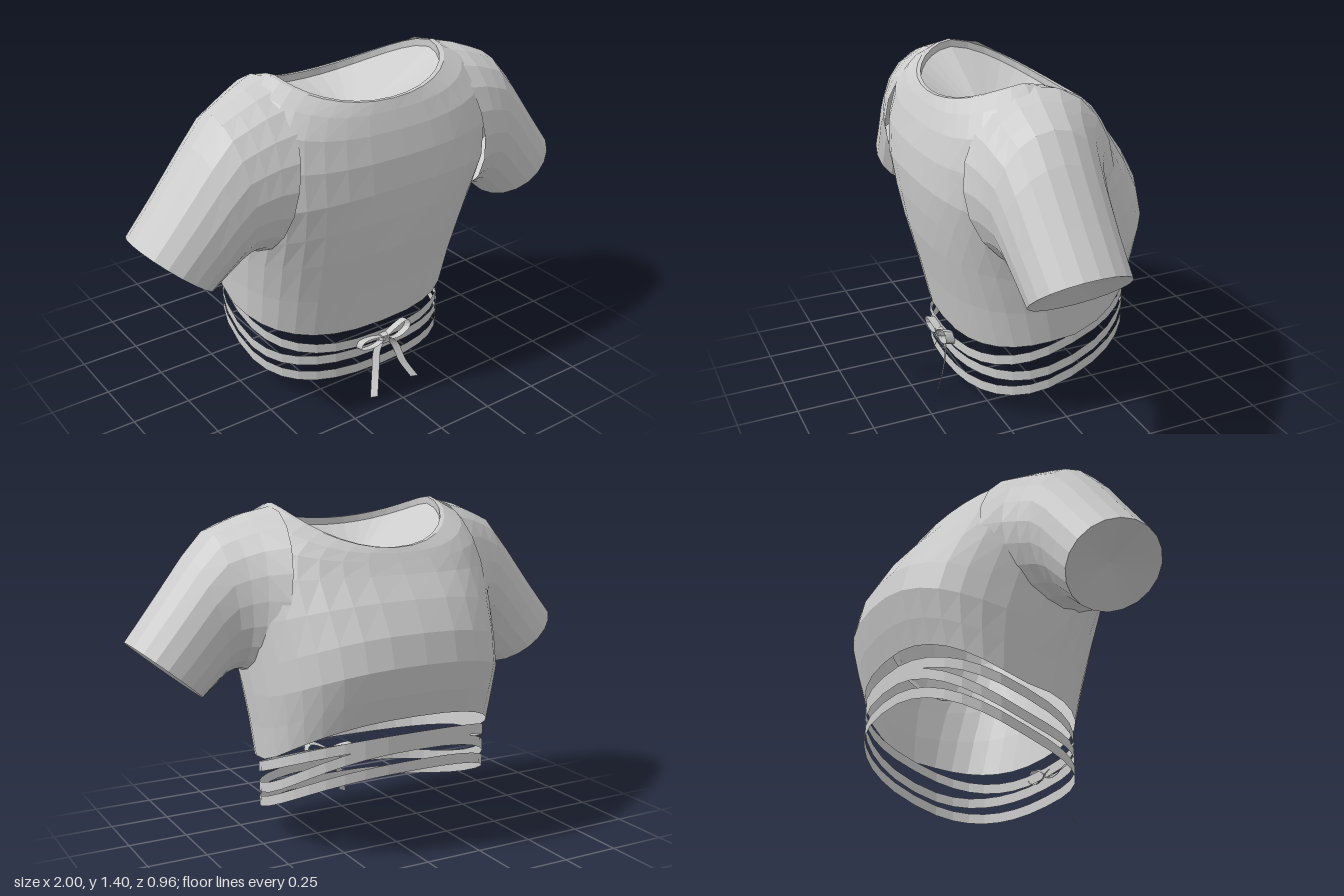
import * as THREE from 'three';

const material = new THREE.MeshStandardMaterial({ color: 0xcccccc, flatShading: true, side: THREE.DoubleSide });

// Skin a list of equally long point rows
function loft(name, rows) {
  const n = rows[0].length, index = [];
  for (let i = 0; i < rows.length - 1; i++) {
    for (let j = 0; j < n - 1; j++) {
      const a = i * n + j, b = a + 1, c = a + n, d = c + 1;
      index.push(a, b, d, a, d, c);
    }
  }
  const geometry = new THREE.BufferGeometry().setFromPoints(rows.flat());
  geometry.setIndex(index);
  geometry.computeVertexNormals();
  const mesh = new THREE.Mesh(geometry, material);
  mesh.name = name;
  return mesh;
}

const spow = (v, e) => Math.sign(v) * Math.pow(Math.abs(v), e);

// Body ring through a side, a front and a back point; frontRound below 0.8 squares the front
function bodyRing([x, ys, zs, yf, zf, yb, zb, frontRound = 0.8, bend = 1.35], round = 0.8, segments = 32) {
  return Array.from({ length: segments + 1 }, (_, j) => {
    const a = (j / segments) * Math.PI * 2, s = Math.sin(a), c = Math.cos(a);
    const y = ys + ((c > 0 ? yf : yb) - ys) * Math.pow(Math.abs(c), bend);
    const z = zs + (c > 0 ? (zf - zs) * Math.pow(c, frontRound) : (zs - zb) * spow(c, round));
    return new THREE.Vector3(x * spow(s, round), y, z);
  });
}

// Sleeve ring through a top point and a bottom point, with depth along z
function sleeveRing([xt, yt, xb, yb, zc, zh], segments = 20) {
  return Array.from({ length: segments + 1 }, (_, j) => {
    const a = (j / segments) * Math.PI * 2, c = Math.cos(a);
    return new THREE.Vector3((xt + xb) / 2 + c * (xt - xb) / 2, (yt + yb) / 2 + c * (yt - yb) / 2, zc + Math.sin(a) * zh);
  });
}

// Fan of faces from the last ring to a sunken centre
const fan = (name, rings, apex) => loft(name, [...rings, rings[0].map(() => apex.clone())]);

// Flat ribbon following a curve, spread along a width vector
function ribbon(name, points, width, closed = false, steps = 18) {
  const curve = new THREE.CatmullRomCurve3(points.map(p => new THREE.Vector3(...p)), closed);
  const path = curve.getPoints(steps), w = new THREE.Vector3(...width).multiplyScalar(0.5);
  return loft(name, [path.map(p => p.clone().sub(w)), path.map(p => p.clone().add(w))]);
}

export function createModel() {
  const model = new THREE.Group();
  model.name = 'croppedTop';

  // Body from hem to shoulders: side x, y, z, front y, z, back y, z, front squareness, bend
  const body = [
    [0.50, 0.38, -0.03, 0.305, 0.347, 0.586, -0.407, 0.8, 1.05],
    [0.51, 0.51, -0.02, 0.50, 0.39, 0.69, -0.445, 0.75, 1.15],
    [0.525, 0.65, 0.00, 0.70, 0.44, 0.81, -0.478, 0.7],
    [0.535, 0.77, 0.04, 0.85, 0.465, 0.93, -0.45, 0.6],
    [0.55, 0.93, 0.08, 0.98, 0.478, 1.05, -0.38, 0.5],
    [0.555, 1.12, 0.12, 1.10, 0.465, 1.14, -0.305, 0.52],
    [0.53, 1.28, 0.15, 1.20, 0.435, 1.19, -0.27, 0.6],
    [0.46, 1.365, 0.15, 1.27, 0.405, 1.22, -0.25, 0.75],
  ].map(r => bodyRing(r));
  const neck = bodyRing([0.39, 1.405, 0.14, 1.31, 0.385, 1.24, -0.235, 0.9, 1.45], 0.95);
  model.add(loft('body', [...body, neck]));

  // Neck opening with a narrow lip and a sunken lining
  const lip = neck.map(p => new THREE.Vector3(p.x * 0.95, p.y, 0.08 + (p.z - 0.08) * 0.95));
  const lipInner = lip.map(p => p.clone().setY(p.y - 0.03));
  model.add(fan('neckLining', [neck, lip, lipInner], new THREE.Vector3(0, 1.13, 0.12)));

  // Sleeves flaring into the body: top x, y, bottom x, y, centre z, half depth
  for (const side of [1, -1]) {
    const sleeve = new THREE.Group();
    sleeve.name = side > 0 ? 'leftSleeve' : 'rightSleeve';
    const rings = [
      [0.395, 1.395, 0.505, 0.71, 0.105, 0.315],
      [0.50, 1.37, 0.53, 0.73, 0.13, 0.275],
      [0.58, 1.34, 0.55, 0.735, 0.143, 0.25],
      [0.65, 1.31, 0.575, 0.732, 0.15, 0.23],
      [0.74, 1.21, 0.605, 0.72, 0.153, 0.218],
      [0.88, 1.03, 0.65, 0.685, 0.147, 0.207],
      [1.00, 0.88, 0.71, 0.635, 0.14, 0.20],
    ].map(r => sleeveRing(r));
    sleeve.add(loft('sleeveShell', rings));
    sleeve.add(fan('sleeveLining', [rings.at(-1)], new THREE.Vector3(0.83, 0.785, 0.14)));
    sleeve.scale.x = side;
    model.add(sleeve);
  }

  // Three waist straps: front height, rise to the back, steepness of the rise
  [[0.238, 0.262, 1.2], [0.19, 0.28, 2.1], [0.113, 0.272, 1.7]].forEach(([y0, rise, power], i) => {
    const row = dy => bodyRing([0.48, 0, -0.03, 0, 0.347, 0, -0.408]).map(p => {
      p.y = y0 + dy + rise * Math.pow(Math.max(0, (0.347 - p.z) / 0.755), power);
      return p;
    });
    model.add(loft('waistStrap' + (i + 1), [row(-0.022), row(0.022)]));
  });

  // Bow with two loops, a knot and two hanging tails
  const bow = new THREE.Group();
  bow.name = 'bow';
  bow.add(ribbon('rightLoop', [[0, 0.23, 0.36], [-0.06, 0.252, 0.365], [-0.12, 0.25, 0.365], [-0.128, 0.218, 0.36], [-0.06, 0.205, 0.36]], [0, 0.01, 0.04], true));
  bow.add(ribbon('leftLoop', [[0, 0.23, 0.36], [0.05, 0.268, 0.365], [0.11, 0.285, 0.365], [0.122, 0.24, 0.36], [0.06, 0.21, 0.36]], [0, 0.01, 0.04], true));
  bow.add(ribbon('rightTail', [[0, 0.23, 0.36], [-0.035, 0.18, 0.36], [-0.065, 0.09, 0.39], [-0.10, 0.004, 0.43]], [0.026, 0.006, 0.018]));
  bow.add(ribbon('leftTail', [[0, 0.23, 0.36], [0.055, 0.18, 0.36], [0.085, 0.09, 0.385], [0.12, 0.02, 0.425]], [0.026, 0.006, 0.018]));
  const knot = new THREE.Mesh(new THREE.BoxGeometry(0.035, 0.035, 0.03), material);
  knot.name = 'knot';
  knot.position.set(0, 0.228, 0.362);
  bow.add(knot);
  model.add(bow);

  return model;
}
